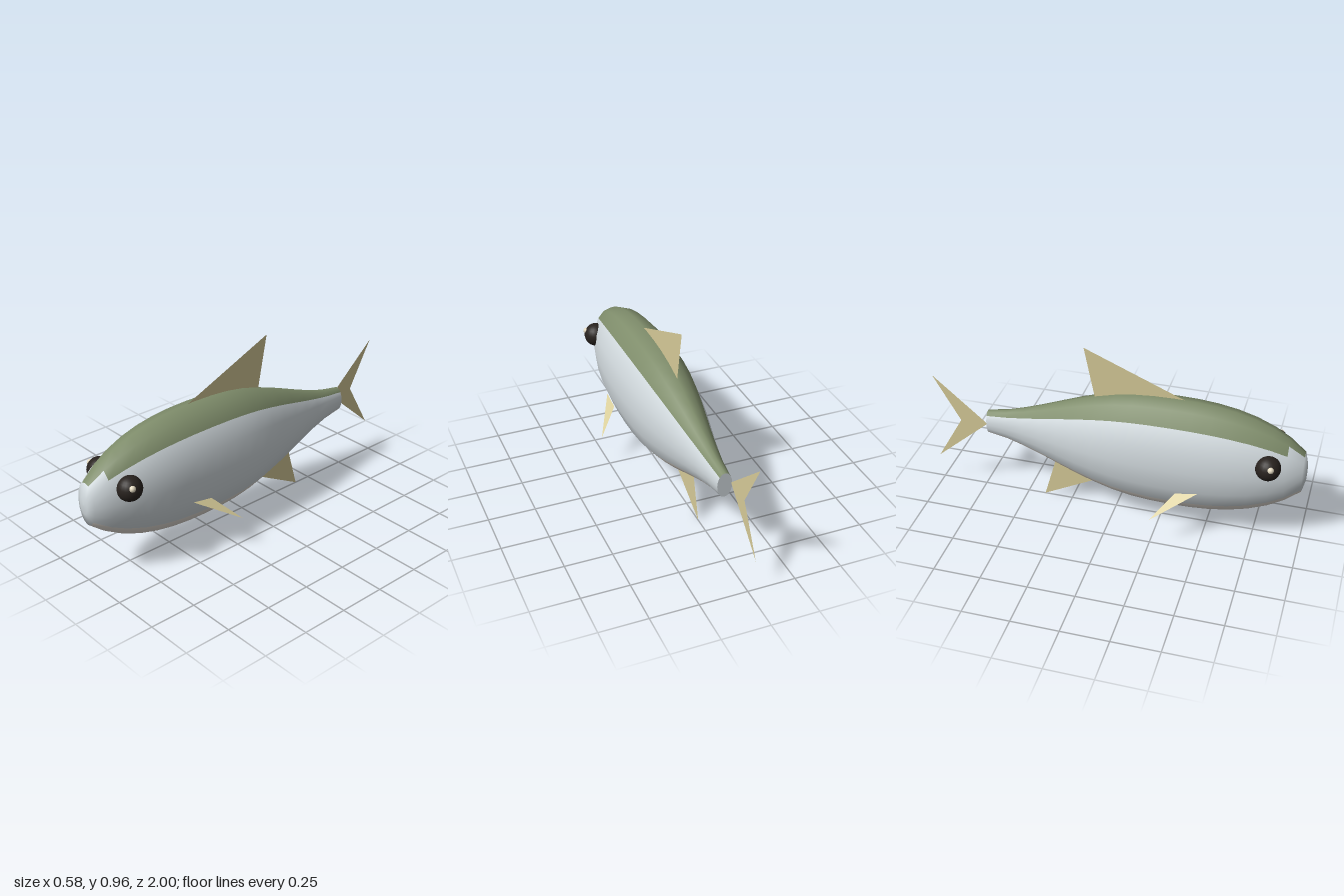
import * as THREE from 'three';

const SIDES = 16;
const MID_Y = 0.425;
const WIDTH_RATIO = 0.578;

// Body stations from nose to tail: [z, half height]
const STATIONS = [
  [1.0, 0.001], [0.998, 0.05], [0.982, 0.116], [0.9, 0.182], [0.82, 0.228], [0.72, 0.268],
  [0.62, 0.294], [0.52, 0.31], [0.42, 0.318], [0.31, 0.32], [0.2, 0.317], [0.1, 0.308],
  [0, 0.291], [-0.1, 0.264], [-0.2, 0.231], [-0.3, 0.193], [-0.4, 0.154], [-0.5, 0.118],
  [-0.6, 0.088], [-0.71, 0.068],
];

const material = (color, extra = {}) => new THREE.MeshStandardMaterial({ color, ...extra });

function addMesh(parent, name, geometry, mat) {
  const mesh = new THREE.Mesh(geometry, mat);
  mesh.name = name;
  parent.add(mesh);
  return mesh;
}

// Which colour zone a body panel belongs to; side 0 starts at the top
function zoneOf(ring, side) {
  const steps = Math.min(side, SIDES - 1 - side);
  if (steps === 0 && ring >= 2) return 'back';
  if (steps === 1 && ring >= 3) return 'back';
  if (steps >= 6 && ring >= 2) return 'belly';
  return 'flanks';
}

// Elliptical rings share one set of smooth normals across all colour zones
function addBody(parent) {
  const positions = [];
  for (const [z, h] of STATIONS) {
    for (let s = 0; s < SIDES; s++) {
      const a = (s / SIDES) * Math.PI * 2;
      positions.push(Math.sin(a) * h * WIDTH_RATIO, MID_Y + Math.cos(a) * h, z);
    }
  }
  const zones = { back: [], flanks: [], belly: [] };
  for (let r = 0; r < STATIONS.length - 1; r++) {
    for (let s = 0; s < SIDES; s++) {
      const n = (s + 1) % SIDES;
      const a = r * SIDES + s, b = r * SIDES + n;
      const c = a + SIDES, d = b + SIDES;
      zones[zoneOf(r, s)].push(a, b, c, b, d, c);
    }
  }
  const whole = new THREE.BufferGeometry();
  whole.setAttribute('position', new THREE.Float32BufferAttribute(positions, 3));
  whole.setIndex([...zones.back, ...zones.flanks, ...zones.belly]);
  whole.computeVertexNormals();

  const colors = { back: 0x7f8d6b, flanks: 0xd3dbdf, belly: 0xe6e0d8 };
  for (const [name, index] of Object.entries(zones)) {
    const geometry = new THREE.BufferGeometry();
    geometry.setAttribute('position', whole.attributes.position);
    geometry.setAttribute('normal', whole.attributes.normal);
    geometry.setIndex(index);
    addMesh(parent, name, geometry, material(colors[name]));
  }

  // Flat end of the tail stem
  const [z, h] = STATIONS[STATIONS.length - 1];
  const cap = addMesh(parent, 'tailStemCap', new THREE.CircleGeometry(1, SIDES), material(colors.flanks));
  cap.scale.set(h * WIDTH_RATIO, h, 1);
  cap.rotation.y = Math.PI;
  cap.position.set(0, MID_Y, z);
}

// Flat upright fin from [z, y] corners
function midFin(points) {
  const shape = new THREE.Shape(points.map(([z, y]) => new THREE.Vector2(-z, y)));
  return new THREE.ShapeGeometry(shape).rotateY(Math.PI / 2);
}

export function createModel() {
  const fish = new THREE.Group();
  fish.name = 'fish';
  addBody(fish);

  // Upright fins; the tail fin sits against one side of the stem
  const finMat = material(0xd6cb98, { side: THREE.DoubleSide });
  addMesh(fish, 'dorsalFin', midFin([[0.36, 0.742], [-0.11, 0.66], [-0.17, 0.965]]), finMat);
  addMesh(fish, 'analFin', midFin([[-0.07, 0.175], [-0.405, 0], [-0.335, 0.25]]), finMat);
  const tail = midFin([[-0.705, 0.428], [-1, 0.17], [-0.855, 0.425], [-1, 0.685]]);
  addMesh(fish, 'tailFin', tail, finMat).position.x = -0.035;

  // Paired fins and eyes
  const eyeMat = material(0x28221e);
  const glintMat = material(0xe6dcc4);
  for (const [label, sx] of [['left', 1], ['right', -1]]) {
    const fin = new THREE.BufferGeometry().setFromPoints([
      new THREE.Vector3(sx * 0.176, 0.307, 0.475),
      new THREE.Vector3(sx * 0.29, 0.177, 0.252),
      new THREE.Vector3(sx * 0.177, 0.288, 0.36),
    ]);
    fin.setIndex(sx > 0 ? [0, 1, 2] : [0, 2, 1]);
    fin.computeVertexNormals();
    addMesh(fish, label + 'PectoralFin', fin, finMat);

    const eye = addMesh(fish, label + 'Eye', new THREE.SphereGeometry(0.065, 20, 14), eyeMat);
    eye.position.set(sx * 0.12, 0.5, 0.815);
    const glint = addMesh(fish, label + 'EyeGlint', new THREE.SphereGeometry(0.017, 12, 8), glintMat);
    glint.position.set(sx * 0.17, 0.524, 0.834);
  }
  return fish;
}
